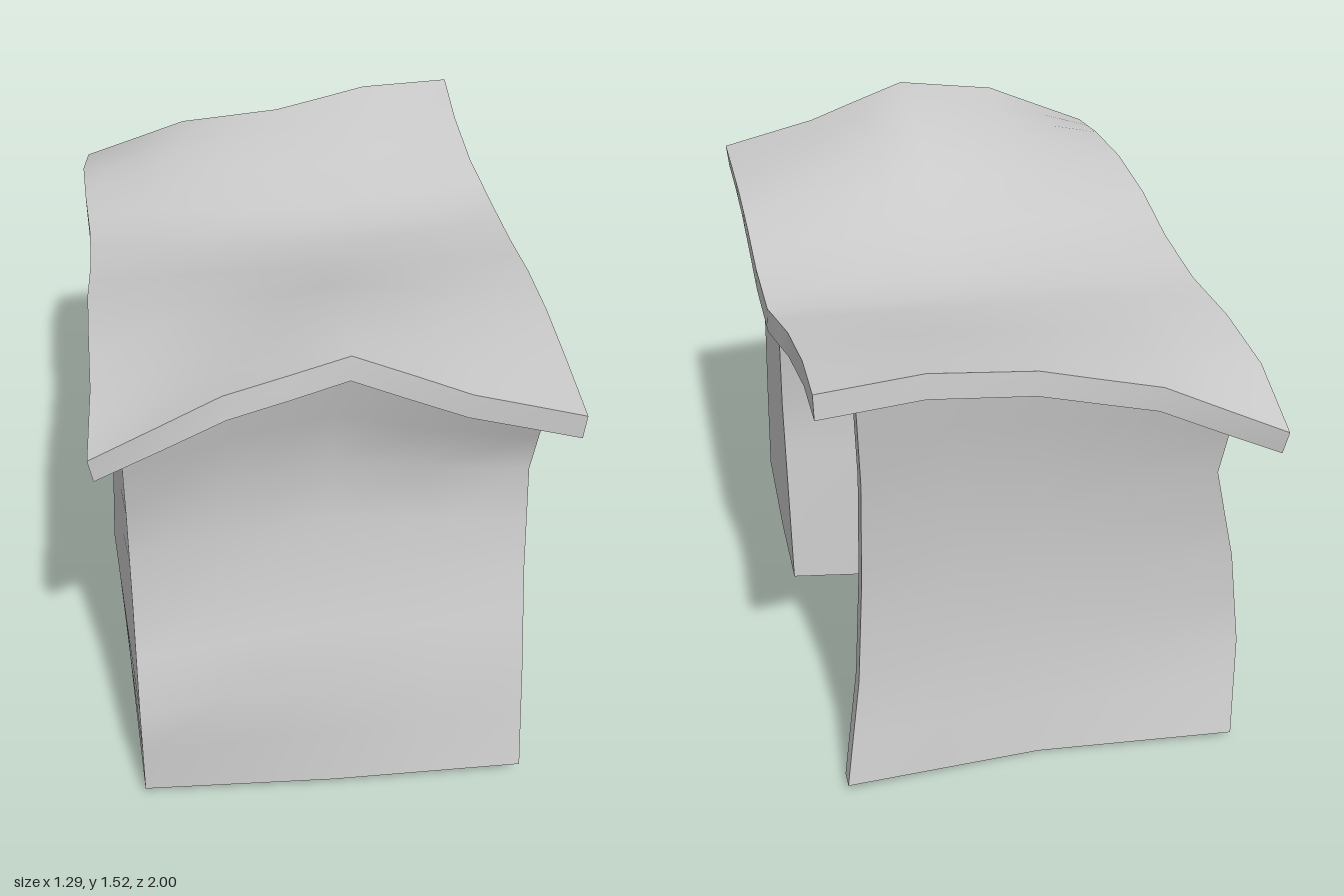
import * as THREE from 'three';

const { lerp, clamp } = THREE.MathUtils;

// Linear reading of evenly spaced stations at t in 0..1
function sample(list, t) {
  const s = clamp(t, 0, 1) * (list.length - 1);
  const i = Math.min(Math.floor(s), list.length - 2);
  return lerp(list[i], list[i + 1], s - i);
}

// Unit box whose vertices are moved by a rule (u, v, w in 0..1 along x, y, z)
function warpedBox(name, segments, rule) {
  const geometry = new THREE.BoxGeometry(1, 1, 1, ...segments);
  const pos = geometry.attributes.position;
  for (let i = 0; i < pos.count; i++) {
    const p = rule(pos.getX(i) + 0.5, pos.getY(i) + 0.5, pos.getZ(i) + 0.5);
    pos.setXYZ(i, p.x, p.y, p.z);
  }
  geometry.computeVertexNormals();
  const mesh = new THREE.Mesh(geometry, new THREE.MeshStandardMaterial({ color: 0xcccccc }));
  mesh.name = name;
  return mesh;
}

// Heights of the wavy top: one list per column from -x to +x, each running back to front
const heights = [
  [1.14, 1.215, 1.245, 1.25, 1.28, 1.325, 1.355, 1.35, 1.31],
  [1.28, 1.28, 1.265, 1.25, 1.28, 1.34, 1.39, 1.43, 1.46],
  [1.335, 1.305, 1.27, 1.245, 1.28, 1.345, 1.425, 1.485, 1.52],
  [1.385, 1.345, 1.295, 1.255, 1.285, 1.335, 1.38, 1.40, 1.40],
  [1.38, 1.35, 1.315, 1.275, 1.29, 1.325, 1.34, 1.335, 1.325],
];
// Outline of the top
const rightEdge = [-0.635, -0.645, -0.635, -0.62, -0.615, -0.62, -0.615, -0.61, -0.62];
const leftEdge = [0.6, 0.595, 0.605, 0.635, 0.64, 0.64, 0.64, 0.64, 0.64];
const backEdge = [-1, -0.94, -0.885, -0.93, -0.97];
const frontEdge = [1, 0.97, 0.915, 0.94, 0.955];

const topHeight = (u, w) => sample(heights.map((column) => sample(column, w)), u);

function topPoint(u, w) {
  const x = lerp(sample(rightEdge, w), sample(leftEdge, w), u) + 0.03 * Math.sin(Math.PI * u);
  return new THREE.Vector3(x, topHeight(u, w), lerp(sample(backEdge, u), sample(frontEdge, u), w));
}

// Thickness direction: the surface normal, eased toward vertical
function topNormal(u, w) {
  const e = 0.06;
  const across = topPoint(Math.min(u + e, 1), w).sub(topPoint(Math.max(u - e, 0), w));
  const along = topPoint(u, Math.min(w + e, 1)).sub(topPoint(u, Math.max(w - e, 0)));
  const normal = along.cross(across).normalize();
  return normal.set(normal.x * 0.4, normal.y, normal.z * 0.6).normalize();
}

// Height just inside the top slab, where the supports end
const underTop = (x, z) => topHeight((x + 0.62) / 1.26, (z + 0.95) / 1.9) - 0.035;

export function createModel() {
  const model = new THREE.Group();

  // Wavy slab of even thickness
  model.add(warpedBox('top', [8, 1, 16], (u, v, w) =>
    topPoint(u, w).addScaledVector(topNormal(u, w), -0.07 * (1 - v))));

  // Thick bent pedestal under the front: stations run from floor to top
  const corner = {
    frontRightZ: [0.915, 0.925, 0.84, 0.83, 0.9],
    frontLeftZ: [0.95, 0.88, 0.79, 0.74, 0.87],
    backRightZ: [0.11, 0.1, 0.125, 0.165, 0.22],
    backLeftZ: [0.25, 0.28, 0.31, 0.265, 0.22],
    backRightX: [-0.59, -0.605, -0.59, -0.575, -0.55],
  };
  model.add(warpedBox('pedestal', [4, 8, 2], (u, v, w) => {
    const x = lerp(lerp(sample(corner.backRightX, v), -0.54, w), 0.56, u);
    const back = lerp(sample(corner.backRightZ, v), sample(corner.backLeftZ, v), u);
    const front = lerp(sample(corner.frontRightZ, v), sample(corner.frontLeftZ, v), u);
    const z = lerp(back, front, w);
    const floor = sample([sample([0.025, 0.005, 0.018], u), 0.01, sample([0.04, 0.04, 0.065], u)], w);
    return new THREE.Vector3(x, lerp(floor, underTop(x, z), v), z);
  }));

  // Thin panel under the back, curved in both directions
  const panel = {
    rightX: [-0.615, -0.64, -0.61, -0.54, -0.56],
    leftX: [0.54, 0.49, 0.47, 0.465, 0.48],
    rightZ: [-0.845, -0.77, -0.75, -0.765, -0.83],
    middleZ: [-0.78, -0.73, -0.715, -0.735, -0.79],
    leftZ: [-0.84, -0.785, -0.77, -0.79, -0.84],
  };
  model.add(warpedBox('backPanel', [4, 8, 1], (u, v, w) => {
    const x = lerp(sample(panel.rightX, v), sample(panel.leftX, v), u);
    const z = sample([panel.rightZ, panel.middleZ, panel.leftZ].map((list) => sample(list, v)), u) + 0.055 * w;
    return new THREE.Vector3(x, lerp(sample([0.02, 0, 0.025], u), underTop(x, z), v), z);
  }));

  return model;
}
